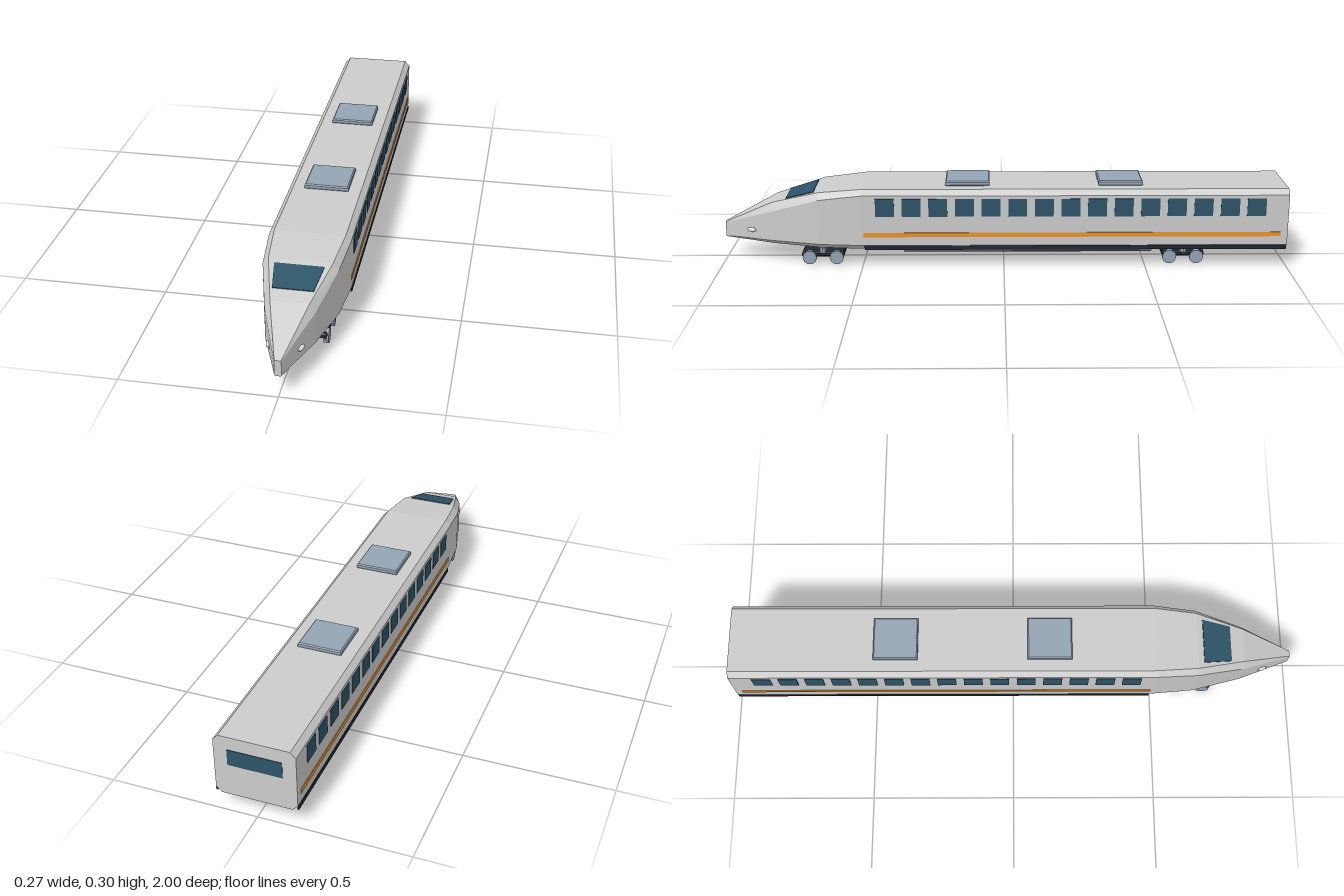
import * as THREE from 'three';

const mat = (color) => new THREE.MeshStandardMaterial({ color, flatShading: true });

// Loft through eight-sided sections: [z, halfWidth, flatTop, top, shoulder, sill, bottom, flatBottom]
function loftBody(sections) {
  const pos = [], idx = [], n = 8;
  for (const [z, w, ft, top, sh, sill, bot, fb] of sections) {
    const right = [[fb, bot], [w, sill], [w, sh], [ft, top]];
    const ring = [...right, ...right.slice().reverse().map(([x, y]) => [-x, y])];
    ring.forEach(([x, y]) => pos.push(x, y, z));
  }
  const last = (sections.length - 1) * n;
  for (let s = 0; s < last; s += n) {
    for (let i = 0; i < n; i++) {
      const j = (i + 1) % n;
      idx.push(s + i, s + j, s + n + j, s + i, s + n + j, s + n + i);
    }
  }
  for (let i = 1; i < n - 1; i++) {
    idx.push(0, i + 1, i, last, last + i, last + i + 1);
  }
  const g = new THREE.BufferGeometry();
  g.setAttribute('position', new THREE.Float32BufferAttribute(pos, 3));
  g.setIndex(idx);
  g.computeVertexNormals();
  return g;
}

// Horizontal plate with bevelled edges
function plate(w, h, d, b = 0.004) {
  const x = w / 2 - b, z = d / 2 - b;
  const s = new THREE.Shape([[-x, -z], [x, -z], [x, z], [-x, z]].map((p) => new THREE.Vector2(...p)));
  const g = new THREE.ExtrudeGeometry(s, { depth: h - 2 * b, bevelSize: b, bevelThickness: b, bevelSegments: 1 });
  return g.translate(0, 0, b - h / 2).rotateX(-Math.PI / 2);
}

export function createModel() {
  const train = new THREE.Group();
  train.name = 'trainCar';
  const shell = mat(0xcccccc), glass = mat(0x2d5468), orange = mat(0xe8922a);
  const dark = mat(0x23282e), steel = mat(0x94a4b4), slate = mat(0x66737f);

  const add = (name, geometry, material, x = 0, y = 0, z = 0, parent = train) => {
    const m = new THREE.Mesh(geometry, material);
    m.name = name;
    m.position.set(x, y, z);
    parent.add(m);
    return m;
  };

  // Car body with tapering nose
  add('body', loftBody([
    [-0.998, 0.135, 0.117, 0.283, 0.264, 0.083, 0.065, 0.117],
    [0.5, 0.135, 0.117, 0.283, 0.264, 0.083, 0.065, 0.117],
    [0.65, 0.122, 0.103, 0.268, 0.245, 0.083, 0.066, 0.103],
    [0.82, 0.079, 0.061, 0.221, 0.192, 0.084, 0.070, 0.064],
    [1, 0.011, 0.010, 0.133, 0.127, 0.082, 0.078, 0.009],
  ]), shell);

  // Windscreen lying on the sloped nose
  const screen = new THREE.Shape([[-0.08, 0.052], [-0.065, -0.052], [0.065, -0.052], [0.08, 0.052]]
    .map((p) => new THREE.Vector2(...p)));
  const windscreen = add('windscreen',
    new THREE.ExtrudeGeometry(screen, { depth: 0.004, bevelEnabled: false }), glass, 0, 0.2475, 0.72);
  windscreen.rotation.x = -Math.PI / 2 + Math.atan2(0.047, 0.17);

  add('rearWindow', new THREE.BoxGeometry(0.18, 0.057, 0.006), glass, 0, 0.208, -0.997);

  // Side windows, stripe, skirt and headlights
  const windowGeo = new THREE.BoxGeometry(0.005, 0.064, 0.066);
  const stripeGeo = new THREE.BoxGeometry(0.005, 0.016, 1.465);
  const skirtGeo = new THREE.BoxGeometry(0.005, 0.015, 1.485);
  const lampGeo = new THREE.SphereGeometry(1, 12, 8).scale(0.007, 0.008, 0.018);
  for (const s of [1, -1]) {
    for (let i = 0; i < 15; i++) add('sideWindow', windowGeo, glass, s * 0.1345, 0.221, 0.417 - i * 0.093);
    add('stripe', stripeGeo, orange, s * 0.1345, 0.122, -0.24);
    add('skirt', skirtGeo, dark, s * 0.1345, 0.0745, -0.2525);
    const lamp = add('headlight', lampGeo, mat(0xdfe4e8), s * 0.051, 0.116, 0.9);
    lamp.rotation.y = -s * 0.36;
  }

  // Roof units and underfloor box
  for (const z of [0.128, -0.412]) add('roofUnit', plate(0.152, 0.018, 0.156), steel, 0, 0.291, z);
  add('underfloorBox', plate(0.2, 0.02, 0.88), slate, 0, 0.056, -0.085);

  // Bogies
  const wheelGeo = new THREE.CylinderGeometry(0.025, 0.025, 0.016, 10).rotateZ(Math.PI / 2);
  const axleGeo = new THREE.CylinderGeometry(0.007, 0.007, 0.18, 8).rotateZ(Math.PI / 2);
  for (const z of [0.643, -0.638]) {
    const bogie = new THREE.Group();
    bogie.name = 'bogie';
    bogie.position.z = z;
    train.add(bogie);
    add('bogieFrame', plate(0.19, 0.018, 0.15), dark, 0, 0.037, 0, bogie);
    add('bolster', new THREE.BoxGeometry(0.16, 0.022, 0.03), slate, 0, 0.055, 0, bogie);
    for (const s of [1, -1]) {
      add('suspension', new THREE.CylinderGeometry(0.013, 0.013, 0.02, 8), steel, s * 0.096, 0.055, 0, bogie);
      add('axle', axleGeo, steel, 0, 0.025, s * 0.048, bogie);
      for (const x of [0.091, -0.091]) add('wheel', wheelGeo, steel, x, 0.025, s * 0.048, bogie);
    }
  }
  return train;
}
